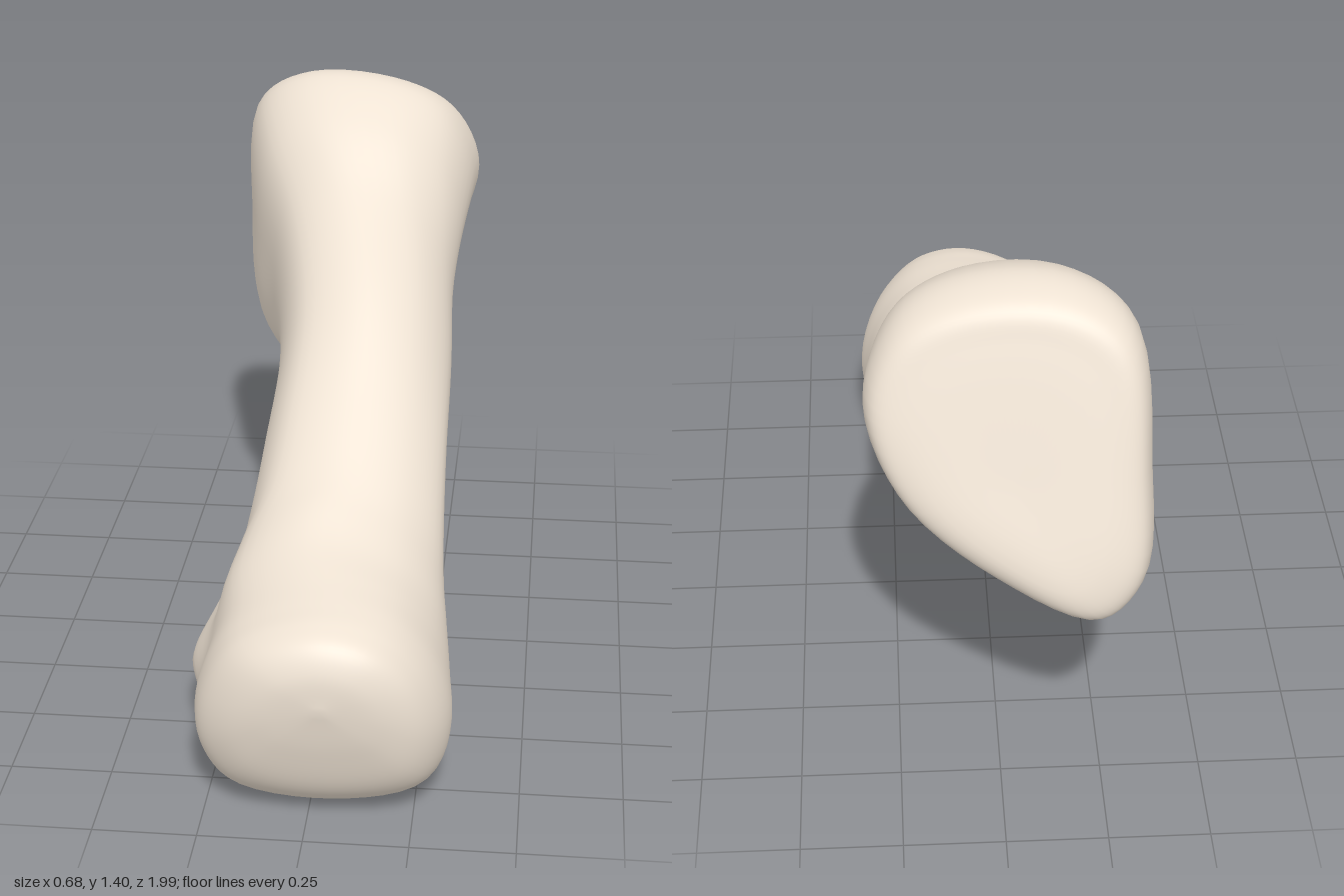
import * as THREE from 'three';
import { mergeVertices } from 'three/addons/utils/BufferGeometryUtils.js';

// Outlines as [across -1..1, height 0..1], clockwise from the top
const HEAD = [[-0.05, 1], [0.5, 0.94], [0.85, 0.73], [1, 0.4], [0.84, 0.12], [0.1, 0], [-0.74, 0.08], [-0.98, 0.3], [-0.95, 0.57], [-0.66, 0.86]];
const NECK = [[-0.05, 1], [0.6, 0.9], [0.95, 0.65], [0.97, 0.4], [0.68, 0.13], [0.1, 0.07], [-0.62, 0], [-1, 0.16], [-0.77, 0.45], [-0.58, 0.83]];
const SHAFT = [[-0.05, 1], [0.6, 0.9], [0.97, 0.65], [0.95, 0.4], [0.6, 0.18], [0, 0.05], [-0.5, 0], [-0.87, 0.18], [-1, 0.5], [-0.7, 0.88]];
const BASE = [[-0.45, 1], [0.33, 0.985], [0.78, 0.88], [1, 0.65], [0.77, 0.37], [0.1, 0.13], [-0.66, 0], [-0.96, 0.13], [-1, 0.47], [-0.89, 0.88]];
const OUTLINES = [HEAD, NECK, SHAFT, BASE];

// Slices from head to base: top z, top y, bottom z, bottom y, min x, max x, outline blend
const SLICES = [
  [0.988, 0.44, 0.968, 0.22, -0.11, 0.18, 0],
  [0.955, 0.5, 0.92, 0.095, -0.2, 0.265, 0],
  [0.9, 0.525, 0.855, 0.03, -0.26, 0.31, 0],
  [0.83, 0.54, 0.76, 0.004, -0.283, 0.333, 0],
  [0.73, 0.56, 0.6, 0.025, -0.3, 0.325, 0.3],
  [0.62, 0.59, 0.46, 0.085, -0.333, 0.31, 0.8],
  [0.52, 0.64, 0.37, 0.15, -0.305, 0.295, 1.1],
  [0.43, 0.69, 0.28, 0.29, -0.23, 0.287, 1.7],
  [0.25, 0.815, 0.1, 0.43, -0.19, 0.28, 2],
  [0, 1.0, -0.2, 0.535, -0.18, 0.275, 2],
  [-0.27, 1.178, -0.42, 0.565, -0.228, 0.27, 2.4],
  [-0.45, 1.32, -0.59, 0.575, -0.3, 0.285, 2.8],
  [-0.6, 1.39, -0.78, 0.62, -0.335, 0.305, 3],
  [-0.69, 1.385, -0.9, 0.655, -0.333, 0.312, 3],
  [-0.74, 1.36, -0.963, 0.69, -0.305, 0.29, 3],
  [-0.775, 1.29, -0.978, 0.76, -0.23, 0.22, 3],
];

const AROUND = 56;
const ALONG = 110;
const lerp = THREE.MathUtils.lerp;

// One smooth closed ring of points for a slice
function sliceRing([topZ, topY, botZ, botY, minX, maxX, blend]) {
  const k = Math.min(Math.floor(blend), OUTLINES.length - 2);
  const f = blend - k;
  const points = OUTLINES[k].map(([u, v], i) => {
    const [u2, v2] = OUTLINES[k + 1][i];
    const x = lerp(minX, maxX, (lerp(u, u2, f) + 1) / 2);
    const h = lerp(v, v2, f);
    // the base face is turned a little to one side
    const skew = 0.11 * Math.max(0, blend - 2) * x;
    return new THREE.Vector3(x, lerp(botY, topY, h), lerp(botZ, topZ, h) + skew);
  });
  const curve = new THREE.CatmullRomCurve3(points, true);
  return Array.from({ length: AROUND }, (_, j) => curve.getPoint(j / AROUND));
}

// Smooth skin through all slices, closed to a point at each end
function boneGeometry() {
  const rings = SLICES.map(sliceRing);
  const headTip = new THREE.Vector3(0.04, 0.35, 0.996);
  const faceCentre = new THREE.Vector3(-0.02, 1.02, -0.885);
  const positions = [];
  const index = [];
  for (let j = 0; j < AROUND; j++) {
    const line = new THREE.CatmullRomCurve3([headTip, ...rings.map((r) => r[j]), faceCentre]);
    for (let i = 0; i <= ALONG; i++) positions.push(...line.getPoint(i / ALONG).toArray());
  }
  const at = (i, j) => (j % AROUND) * (ALONG + 1) + i;
  for (let j = 0; j < AROUND; j++) {
    for (let i = 0; i < ALONG; i++) {
      const a = at(i, j), b = at(i, j + 1), c = at(i + 1, j), d = at(i + 1, j + 1);
      if (i > 0) index.push(a, b, c);
      if (i < ALONG - 1) index.push(b, d, c);
    }
  }
  const geometry = new THREE.BufferGeometry();
  geometry.setAttribute('position', new THREE.Float32BufferAttribute(positions, 3));
  geometry.setIndex(index);
  const merged = mergeVertices(geometry, 1e-5);
  merged.computeVertexNormals();
  return merged;
}

export function createModel() {
  const group = new THREE.Group();
  group.name = 'footBone';
  const bone = new THREE.Mesh(boneGeometry(), new THREE.MeshStandardMaterial({ color: 0xeee2d3 }));
  bone.name = 'bone';
  group.add(bone);
  return group;
}
